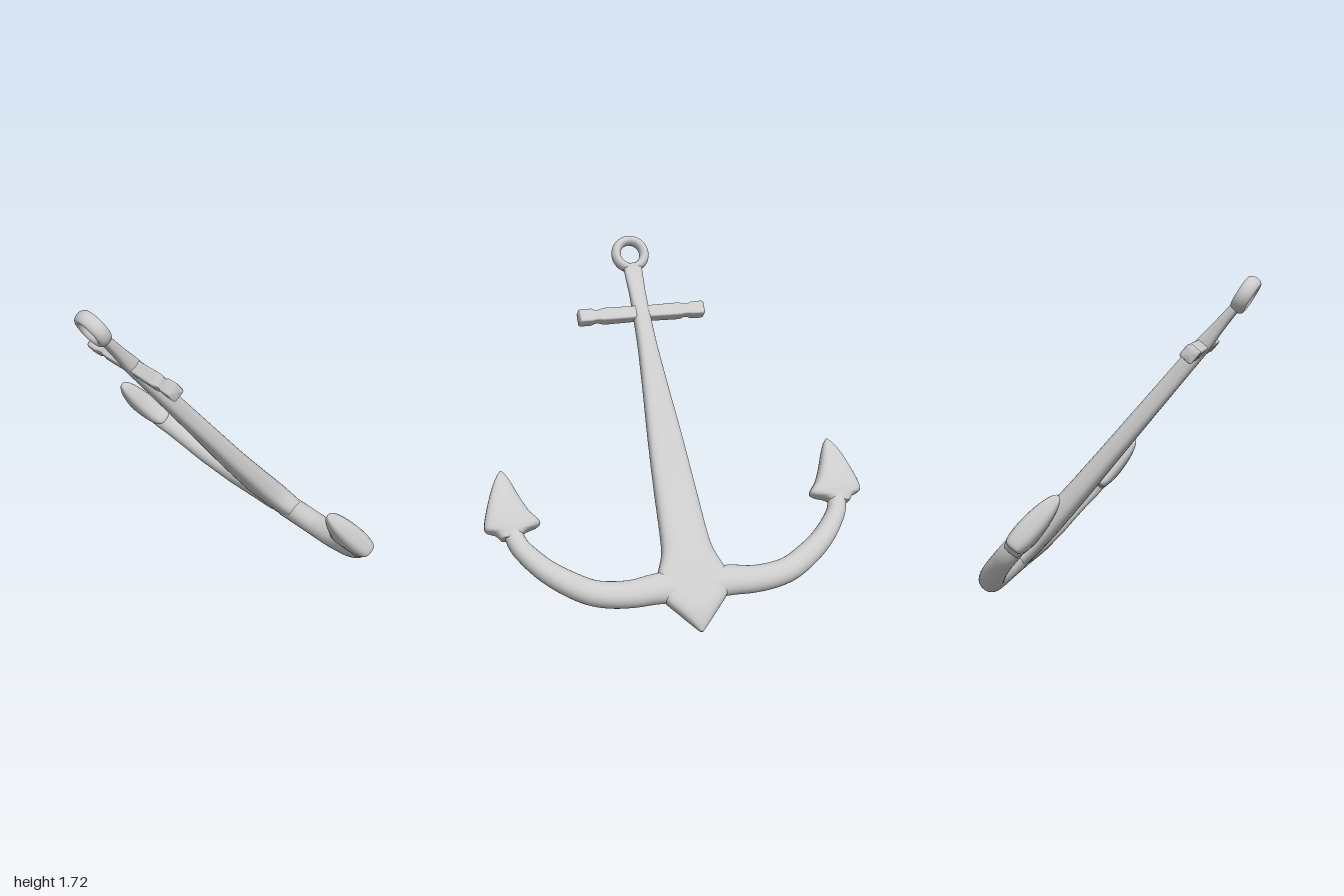
import * as THREE from 'three';

const material = new THREE.MeshStandardMaterial({ color: 0xcccccc });
const Z = new THREE.Vector3(0, 0, 1);

// Loft through rows of [x, y, z, halfWidth, halfDepth] with rounded-square sections.
// Depth always runs along z; power 2 is an ellipse, higher is squarer.
function loft(name, rows, { power = 2, steps = 6, sides = 28, dir = null } = {}) {
  const path = new THREE.CatmullRomCurve3(rows.map(r => new THREE.Vector3(r[0], r[1], r[2])), false, 'catmullrom', 0.5);
  const size = new THREE.CatmullRomCurve3(rows.map(r => new THREE.Vector3(r[3], r[4], 0)), false, 'catmullrom', 0.5);
  const count = (rows.length - 1) * steps;
  const positions = [], index = [];
  const bend = v => Math.sign(v) * Math.abs(v) ** (2 / power);
  for (let i = 0; i <= count; i++) {
    const c = path.getPoint(i / count), r = size.getPoint(i / count);
    const across = Z.clone().cross(dir ?? path.getTangent(i / count)).normalize();
    for (let j = 0; j < sides; j++) {
      const a = (j + 0.5) / sides * Math.PI * 2;
      const p = c.clone().addScaledVector(across, r.x * bend(Math.cos(a))).addScaledVector(Z, r.y * bend(Math.sin(a)));
      positions.push(p.x, p.y, p.z);
      if (i < count) {
        const k = i * sides + j, n = i * sides + (j + 1) % sides;
        index.push(k, n, n + sides, k, n + sides, k + sides);
      }
    }
  }
  // end caps
  for (const [i, flip] of [[0, true], [count, false]]) {
    const c = path.getPoint(i / count), centre = positions.length / 3;
    positions.push(c.x, c.y, c.z);
    for (let j = 0; j < sides; j++) {
      const k = i * sides + j, n = i * sides + (j + 1) % sides;
      index.push(centre, ...(flip ? [n, k] : [k, n]));
    }
  }
  const geometry = new THREE.BufferGeometry();
  geometry.setAttribute('position', new THREE.Float32BufferAttribute(positions, 3));
  geometry.setIndex(index);
  geometry.computeVertexNormals();
  const mesh = new THREE.Mesh(geometry, material);
  mesh.name = name;
  return mesh;
}

export function createModel() {
  const model = new THREE.Group();
  model.name = 'anchor';
  const anchor = new THREE.Group();
  anchor.name = 'tiltedAnchor';
  model.add(anchor);

  // Shank with the flared crown and pointed tip: [height, z, halfWidth, halfDepth]
  const shank = [
    [0.005, -0.01, 0.008, 0.012], [0.05, -0.014, 0.05, 0.036], [0.11, -0.018, 0.105, 0.052],
    [0.18, -0.018, 0.165, 0.06], [0.26, -0.015, 0.195, 0.064], [0.34, -0.013, 0.165, 0.067],
    [0.42, -0.01, 0.134, 0.068], [0.52, -0.006, 0.121, 0.067], [0.78, 0, 0.107, 0.06],
    [1.05, 0, 0.09, 0.054], [1.3, 0, 0.07, 0.05], [1.57, 0, 0.051, 0.046],
    [1.76, 0, 0.045, 0.043], [1.88, 0, 0.044, 0.034], [1.98, 0, 0.048, 0.028], [2.055, 0, 0.05, 0.026],
  ];
  anchor.add(loft('shank', shank.map(([y, z, w, d]) => [0, y, z, w, d]), { power: 2.9, sides: 32 }));

  // Ring at the head
  const ring = new THREE.Mesh(new THREE.TorusGeometry(0.078, 0.025, 20, 48), material);
  ring.name = 'ring';
  ring.scale.z = 1.55;
  ring.position.y = 2.12;
  ring.rotation.x = -0.14;
  anchor.add(ring);

  // Square stock with a notch near each end: [x, halfSize]
  const half = [[0.05, 0.035], [0.19, 0.037], [0.215, 0.036], [0.235, 0.03], [0.258, 0.03], [0.275, 0.037], [0.335, 0.038], [0.345, 0.034]];
  const stock = [...half.map(([x, r]) => [-x, r]).reverse(), ...half];
  anchor.add(loft('stock', stock.map(([x, r]) => [x, 1.762, 0, r, r]), { power: 7, steps: 1, sides: 32 }));

  // Curved arms and arrow-shaped flukes, mirrored
  const arm = [
    [0.05, 0.25, -0.012, 0.085, 0.064], [0.2, 0.247, -0.012, 0.077, 0.064], [0.31, 0.238, -0.012, 0.07, 0.064],
    [0.42, 0.245, -0.012, 0.067, 0.065], [0.52, 0.27, -0.01, 0.064, 0.062], [0.62, 0.325, -0.01, 0.062, 0.062],
    [0.72, 0.4, -0.01, 0.057, 0.058], [0.8, 0.487, -0.008, 0.052, 0.055], [0.85, 0.57, -0.004, 0.048, 0.054],
    [0.875, 0.7, 0, 0.045, 0.045],
  ];
  // [height, inner x, outer x, halfDepth]
  const fluke = [
    [0.592, 0.835, 0.925, 0.045], [0.622, 0.79, 0.95, 0.053], [0.64, 0.735, 0.992, 0.056], [0.665, 0.721, 1, 0.06],
    [0.72, 0.765, 0.987, 0.062], [0.8, 0.805, 0.96, 0.056], [0.87, 0.832, 0.932, 0.044], [0.925, 0.857, 0.902, 0.026], [0.948, 0.875, 0.885, 0.01],
  ];
  for (const [side, s] of [['left', 1], ['right', -1]]) {
    anchor.add(loft(side + 'Arm', arm.map(([x, ...rest]) => [s * x, ...rest]), { power: 2.2 }));
    anchor.add(loft(side + 'Fluke', fluke.map(([y, a, b, d]) => [s * (a + b) / 2, y, 0, (b - a) / 2, d]),
      { power: 3, steps: 5, dir: new THREE.Vector3(0, 1, 0) }));
  }

  // Lean the whole anchor forward
  anchor.rotation.x = THREE.MathUtils.degToRad(40);
  anchor.position.z = -0.72;
  return model;
}
